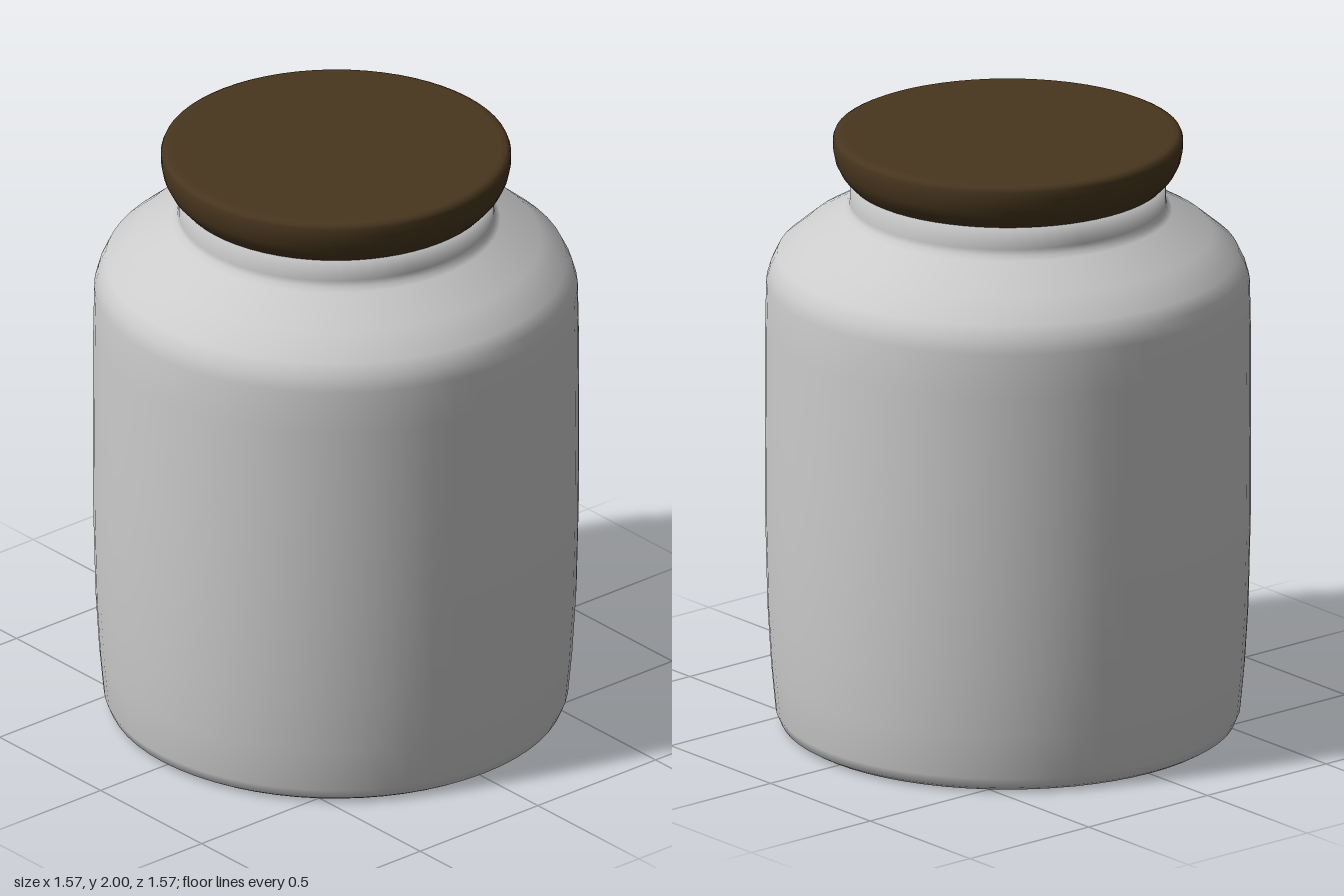
import * as THREE from 'three';

const SEGMENTS = 64;

// Revolves a [radius, height] profile, listed from the bottom centre upwards
function turned(name, profile, color) {
  const points = profile.map(([r, y]) => new THREE.Vector2(r, y));
  const mesh = new THREE.Mesh(
    new THREE.LatheGeometry(points, SEGMENTS),
    new THREE.MeshStandardMaterial({ color })
  );
  mesh.name = name;
  return mesh;
}

export function createModel() {
  const group = new THREE.Group();
  group.name = 'jar';

  // Body: flat base, rounded foot, nearly straight wall, sloping shoulder, neck
  group.add(turned('jarBody', [
    [0, 0], [0.69, 0], [0.715, 0.003], [0.735, 0.015], [0.75, 0.05], [0.764, 0.2],
    [0.776, 0.4], [0.783, 0.7], [0.784, 1.0], [0.783, 1.35], [0.78, 1.5],
    [0.767, 1.545], [0.745, 1.59], [0.66, 1.662], [0.53, 1.737], [0.514, 1.752],
    [0.51, 1.77], [0.51, 1.86], [0, 1.86],
  ], 0xcccccc));

  // Lid: flared stopper with a rounded rim and flat top
  group.add(turned('lid', [
    [0, 1.842], [0.5, 1.842], [0.512, 1.845], [0.54, 1.876], [0.557, 1.91],
    [0.565, 1.95], [0.565, 1.98], [0.56, 1.993], [0.548, 1.999], [0.53, 2], [0, 2],
  ], 0x48361e));

  return group;
}
